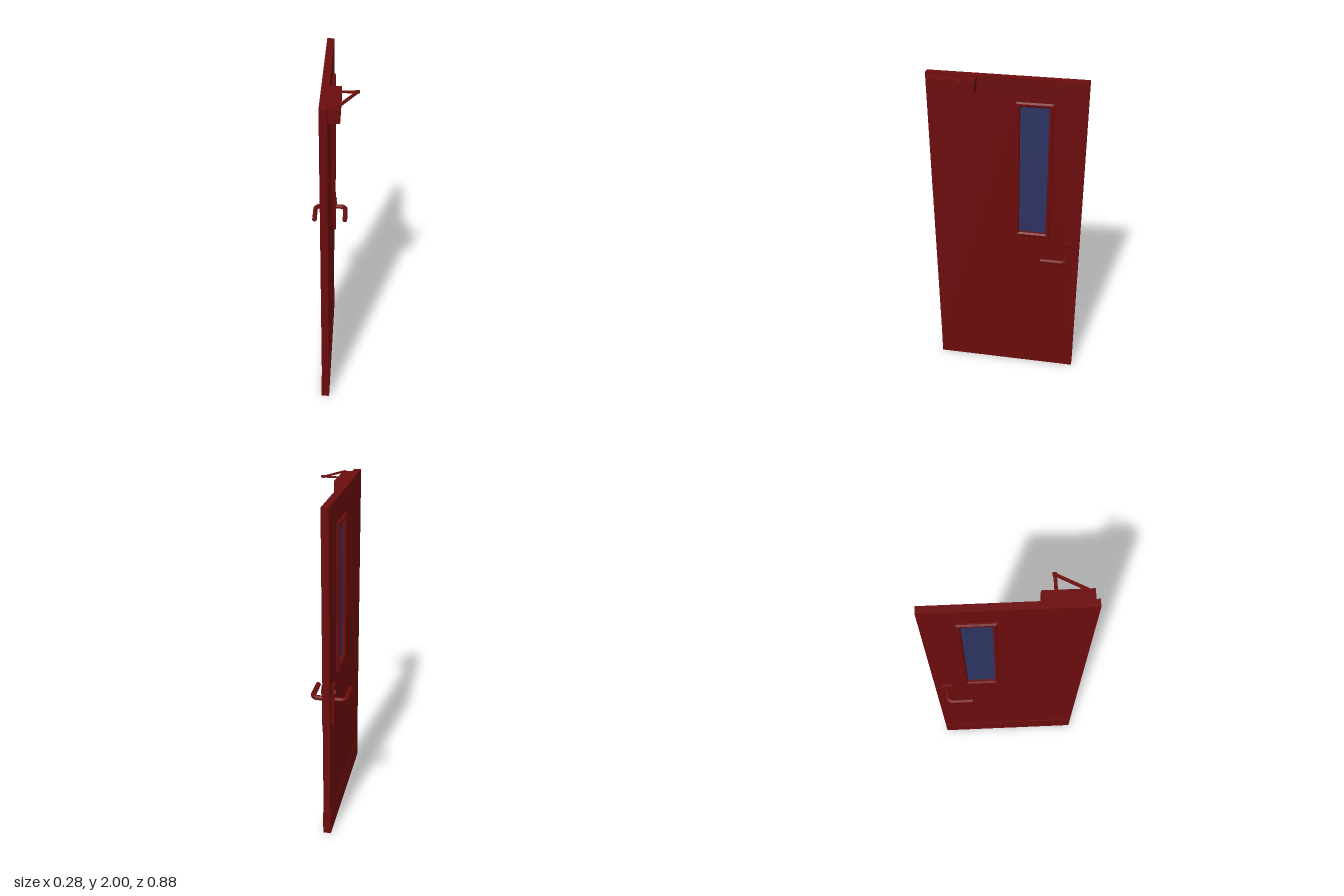
import * as THREE from 'three';

const CX = -0.0325; // middle plane of the door leaf

export function createModel() {
  const door = new THREE.Group();
  door.name = 'door';
  const red = new THREE.MeshStandardMaterial({ color: 0x6b0c0c });
  const blue = new THREE.MeshStandardMaterial({ color: 0x2e3362 });

  const add = (name, geometry, x = 0, y = 0, z = 0, material = red, parent = door) => {
    const mesh = new THREE.Mesh(geometry, material);
    mesh.name = name;
    mesh.position.set(x, y, z);
    parent.add(mesh);
    return mesh;
  };
  const box = (name, sx, sy, sz, x, y, z, material, parent) =>
    add(name, new THREE.BoxGeometry(sx, sy, sz), x, y, z, material, parent);

  // Rectangle in the (z, y) plane, drawn with u = -z so it extrudes along +x
  const rect = (Type, z0, z1, y0, y1) => new Type([
    new THREE.Vector2(-z1, y0), new THREE.Vector2(-z0, y0),
    new THREE.Vector2(-z0, y1), new THREE.Vector2(-z1, y1),
  ]);
  const panel = (outer, hole, depth, bevel = 0) => {
    const shape = rect(THREE.Shape, ...outer);
    shape.holes.push(rect(THREE.Path, ...hole));
    const g = new THREE.ExtrudeGeometry(shape, {
      depth: depth - 2 * bevel, bevelEnabled: bevel > 0,
      bevelThickness: bevel, bevelSize: bevel, bevelOffset: -bevel, bevelSegments: 1,
    });
    g.translate(0, 0, bevel - depth / 2);
    return g.rotateY(Math.PI / 2);
  };

  // Door leaf with its window opening, and the thicker kick plate
  add('doorLeaf', panel([-0.4375, 0.4375, 0.14, 2], [-0.245, -0.065, 1.03, 1.855], 0.041), CX);
  box('kickPlate', 0.047, 0.145, 0.875, CX, 0.0725, 0);

  // Window: bevelled frame through the leaf and an inset pane
  add('windowFrame', panel([-0.258, -0.052, 1.01, 1.872], [-0.235, -0.075, 1.04, 1.845], 0.073, 0.008), CX);
  box('windowPane', 0.03, 0.83, 0.18, CX, 1.4425, -0.155, blue);

  // Lever sets on both faces
  for (const side of [1, -1]) {
    const set = new THREE.Group();
    set.name = side > 0 ? 'leftHandleSet' : 'rightHandleSet';
    set.position.x = CX;
    door.add(set);

    box('backPlate', 0.016, 0.255, 0.06, side * 0.026, 0.8625, -0.365, red, set);
    const collar = add('lockCylinder', new THREE.CylinderGeometry(0.02, 0.02, 0.02, 24),
      side * 0.031, 0.94, -0.367, red, set);
    collar.rotation.z = Math.PI / 2;

    // Spindle runs out of the plate, bends, then follows the door
    const p = (x, z) => new THREE.Vector3(side * x, 0, z);
    const path = new THREE.CurvePath();
    path.add(new THREE.LineCurve3(p(0.025, -0.367), p(0.064, -0.367)));
    path.add(new THREE.CubicBezierCurve3(p(0.064, -0.367), p(0.082, -0.367), p(0.096, -0.353), p(0.096, -0.335)));
    path.add(new THREE.LineCurve3(p(0.096, -0.335), p(0.096, -0.216)));
    add('lever', new THREE.TubeGeometry(path, 40, 0.0145, 16), 0, 0.895, 0, red, set);
    const cap = add('leverEnd', new THREE.SphereGeometry(0.0145, 16, 8, 0, Math.PI * 2, 0, Math.PI / 2),
      side * 0.096, 0.895, -0.216, red, set);
    cap.rotation.x = Math.PI / 2;
    cap.scale.y = 0.2;
  }

  // Door closer: body, two flat arms and the joint between them
  box('closerBody', 0.061, 0.075, 0.26, 0.0185, 1.9525, 0.29);
  const arm = (name, x0, z0, x1, z1, width) => {
    const m = box(name, Math.hypot(x1 - x0, z1 - z0), 0.007, width, (x0 + x1) / 2, 1.993, (z0 + z1) / 2);
    m.rotation.y = -Math.atan2(z1 - z0, x1 - x0);
  };
  arm('closerFixedArm', 0.024, 0.232, 0.128, 0.232, 0.017);
  arm('closerSwingArm', 0.033, 0.4, 0.128, 0.232, 0.016);
  box('closerJoint', 0.022, 0.01, 0.02, 0.128, 1.994, 0.231);

  return door;
}
